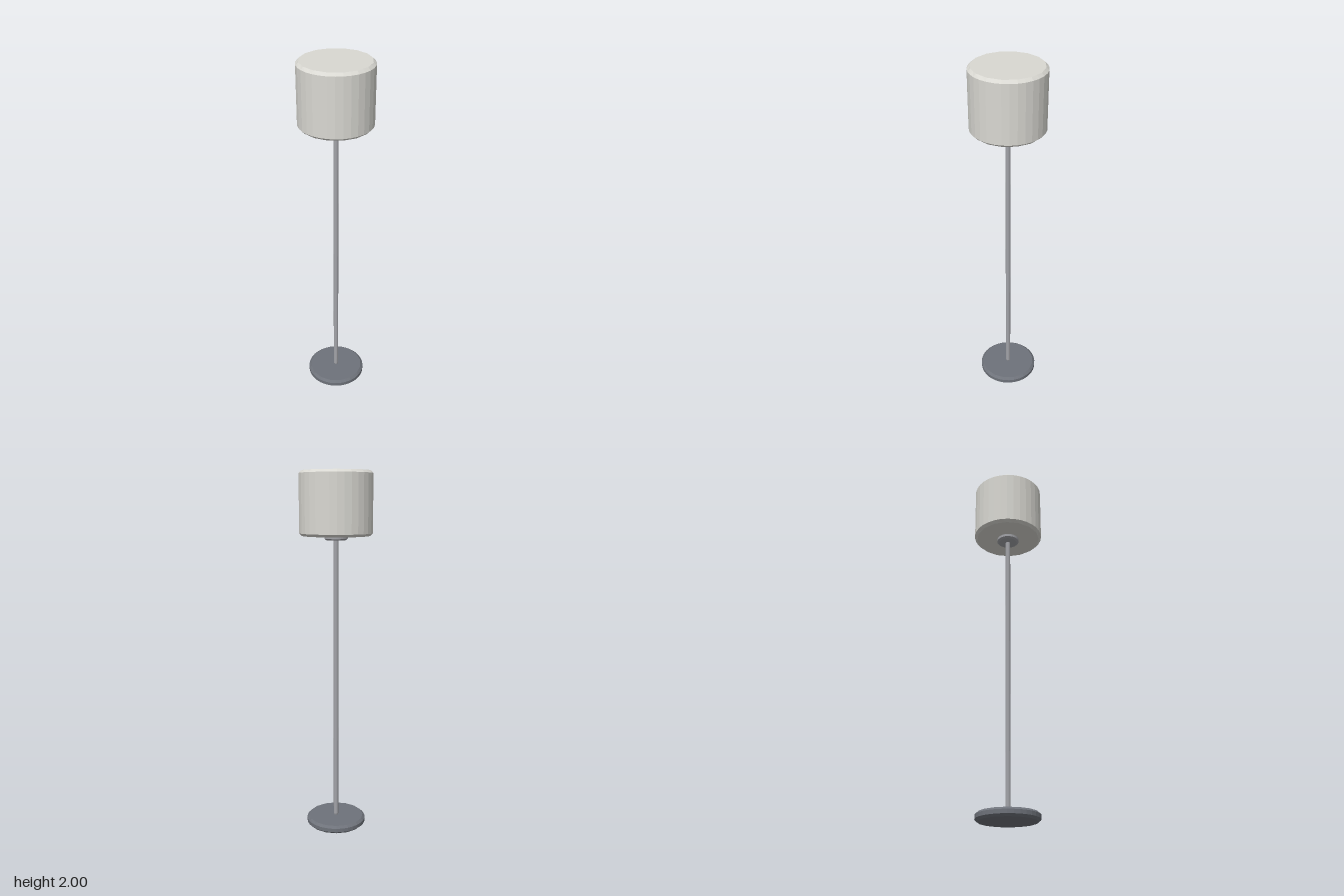
import * as THREE from 'three';

const SIDES = 32;

// Closed drum with chamfered rims; the flat end caps have half as many corners as the wall.
function chamferedDrum(name, color, radius, bottom, top, inset, bevel) {
  const points = [
    [0, bottom], [radius - inset, bottom], [radius, bottom + bevel],
    [radius, top - bevel], [radius - inset, top], [0, top],
  ].map(([r, y]) => new THREE.Vector2(r, y));
  const geometry = new THREE.LatheGeometry(points, SIDES);
  const pos = geometry.attributes.position;
  const k = Math.cos((2 * Math.PI) / SIDES);
  for (let i = 1; i < SIDES; i += 2) {
    for (const ring of [1, 4]) {
      const v = i * points.length + ring;
      pos.setX(v, pos.getX(v) * k);
      pos.setZ(v, pos.getZ(v) * k);
    }
  }
  const material = new THREE.MeshStandardMaterial({ color, flatShading: true });
  const mesh = new THREE.Mesh(geometry, material);
  mesh.name = name;
  return mesh;
}

export function createModel() {
  const lamp = new THREE.Group();
  lamp.name = 'floorLamp';
  lamp.add(
    // Weighted disc foot
    chamferedDrum('base', 0x6e727a, 0.168, 0, 0.045, 0.012, 0.012),
    // Slim upright
    chamferedDrum('pole', 0xa2a3a8, 0.0135, 0.04, 1.65, 0.004, 0.012),
    // Fitting under the shade
    chamferedDrum('collar', 0xa2a3a8, 0.063, 1.637, 1.67, 0.01, 0.008),
    // Closed drum shade
    chamferedDrum('shade', 0xd9d8d2, 0.198, 1.66, 2, 0.014, 0.014),
  );
  return lamp;
}
